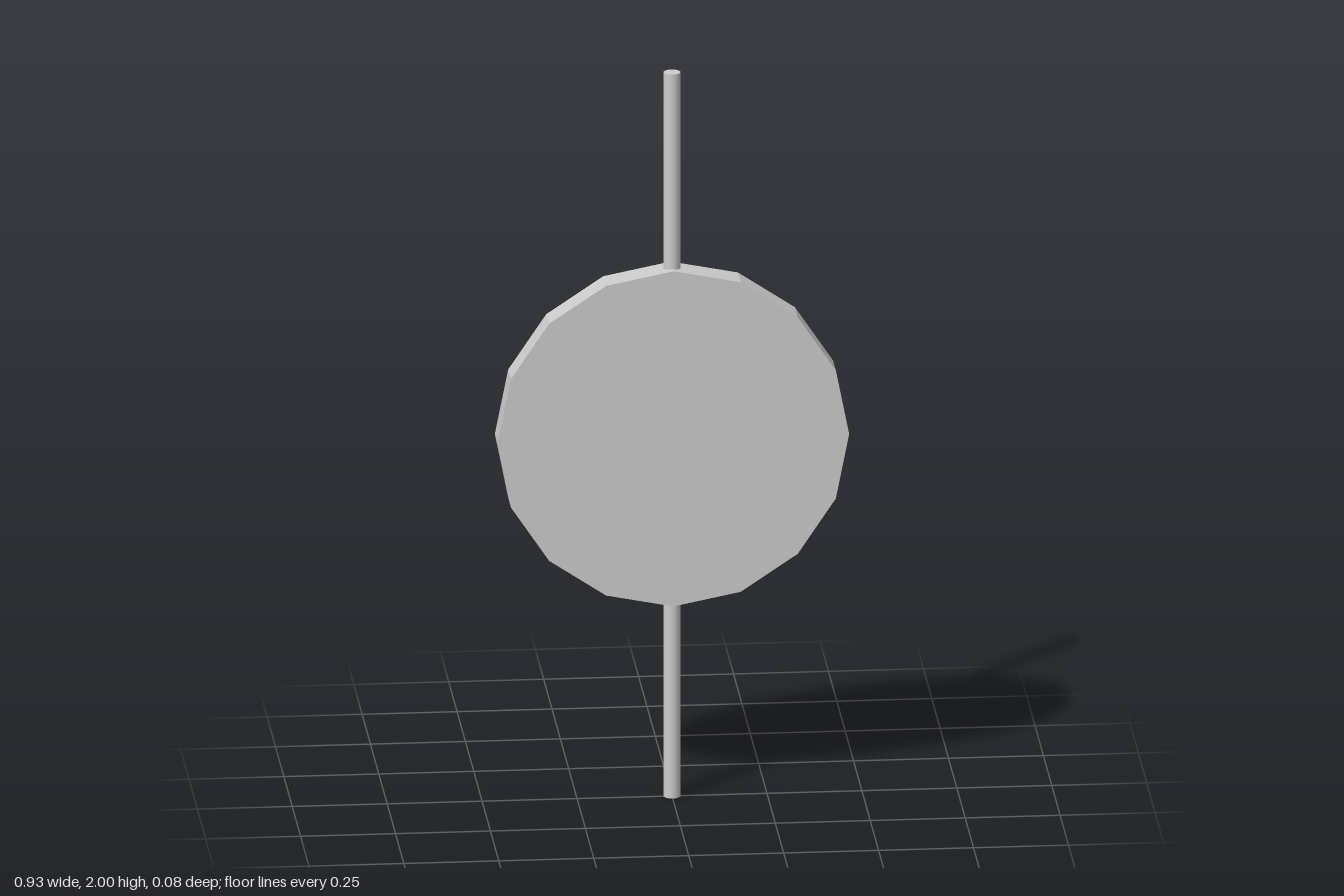
import * as THREE from 'three';

export function createModel() {
  const group = new THREE.Group();
  const smooth = new THREE.MeshStandardMaterial({ color: 0xcccccc });
  const faceted = new THREE.MeshStandardMaterial({ color: 0xcccccc, flatShading: true });

  // Upright round rod running the full height
  const rod = new THREE.Mesh(new THREE.CylinderGeometry(0.022, 0.022, 2, 32), smooth);
  rod.name = 'rod';
  rod.position.y = 1;
  group.add(rod);

  // Sixteen-sided disc facing front, centred on the rod
  const disc = new THREE.Mesh(
    new THREE.CylinderGeometry(0.463, 0.463, 0.082, 16).rotateX(Math.PI / 2),
    faceted
  );
  disc.name = 'disc';
  disc.position.y = 1;
  group.add(disc);

  return group;
}
